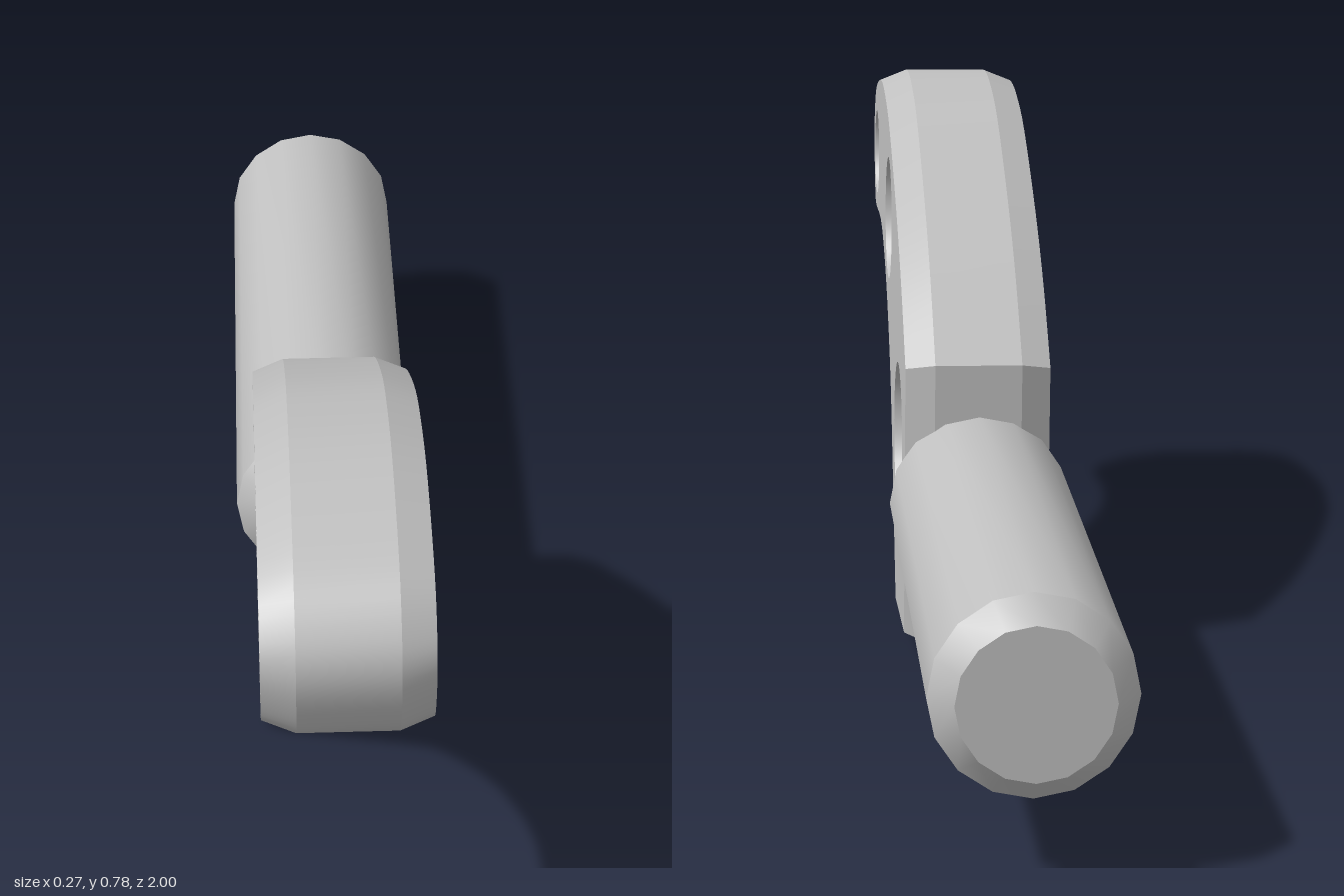
import * as THREE from 'three';
import { toCreasedNormals } from 'three/addons/utils/BufferGeometryUtils.js';

export function createModel() {
  const model = new THREE.Group();
  model.name = 'leverWithShaft';
  const metal = new THREE.MeshStandardMaterial({ color: 0xc0c0c0 });
  metal.name = 'light grey metal';

  const add = (name, geometry, crease) => {
    const mesh = new THREE.Mesh(toCreasedNormals(geometry, crease), metal);
    mesh.name = name;
    model.add(mesh);
    return mesh;
  };

  // Curved lever plate, profile in (z, y): back top corner, round the nose, down to the foot
  const curve = new THREE.SplineCurve([
    [-0.03, 0.445], [0.1, 0.55], [0.25, 0.64], [0.46, 0.735], [0.6, 0.77], [0.72, 0.78],
    [0.84, 0.765], [0.935, 0.735], [0.985, 0.685], [0.998, 0.635], [0.982, 0.575],
    [0.952, 0.528], [0.905, 0.51], [0.755, 0.512], [0.65, 0.485], [0.54, 0.425],
    [0.435, 0.33], [0.38, 0.25],
  ].map(([z, y]) => new THREE.Vector2(z, y)));
  const shape = new THREE.Shape([
    ...curve.getPoints(68),
    new THREE.Vector2(0.243, 0),
    new THREE.Vector2(-0.025, 0.017),
  ]);

  // Three through holes of decreasing size
  for (const [z, y, r] of [[0.18, 0.29, 0.097], [0.49, 0.575, 0.08], [0.88, 0.622, 0.053]]) {
    shape.holes.push(new THREE.Path().absarc(z, y, r, 0, Math.PI * 2, false));
  }

  // Extrude across the width with chamfered rims on outline and holes
  const width = 0.214, bevel = 0.043;
  const plateGeometry = new THREE.ExtrudeGeometry(shape, {
    depth: width - 2 * bevel,
    curveSegments: 16,
    bevelThickness: bevel,
    bevelSize: 0.017,
    bevelOffset: -0.017,
    bevelSegments: 1,
  });
  plateGeometry.translate(0, 0, bevel - width / 2);
  plateGeometry.rotateY(-Math.PI / 2);
  const plate = add('leverPlate', plateGeometry, 0.36);
  plate.position.x = -0.003;
  plate.rotation.set(0, -0.006, 0.009);

  // Round shaft with chamfered ends, its front end sunk into the plate
  const profile = [[0, -1], [0.1, -1], [0.132, -0.962], [0.132, -0.012], [0.098, 0.025], [0, 0.025]];
  const shaftGeometry = new THREE.LatheGeometry(
    profile.map(([r, z]) => new THREE.Vector2(r, z)), 16);
  shaftGeometry.rotateX(Math.PI / 2);
  const shaft = add('shaft', shaftGeometry, 0.5);
  shaft.position.set(-0.008, 0.235, 0);
  shaft.rotation.y = -0.01;

  return model;
}
